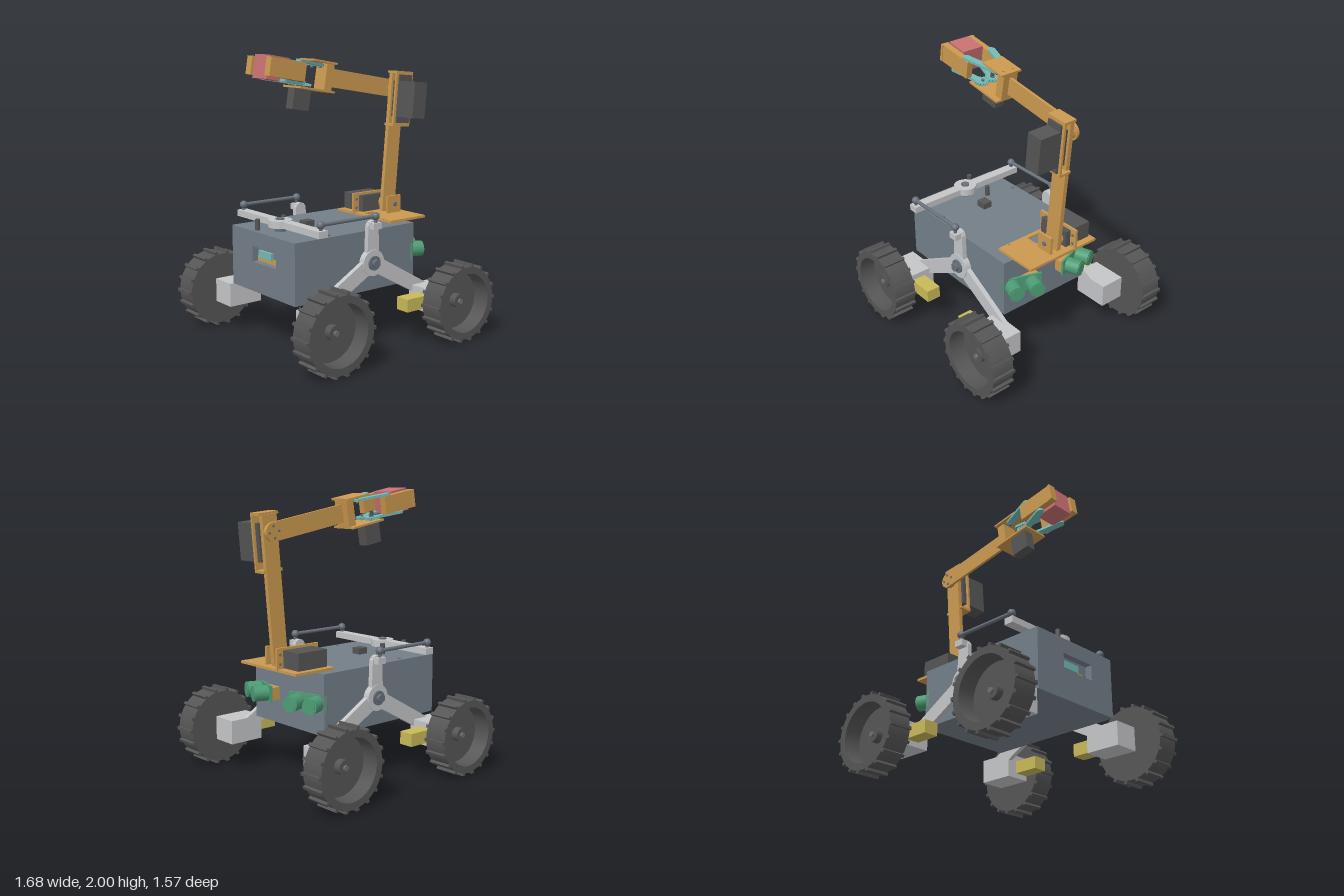
import * as THREE from 'three';
import { toCreasedNormals } from 'three/addons/utils/BufferGeometryUtils.js';

const mat = (name, color) => {
  const m = new THREE.MeshStandardMaterial({ color });
  m.name = name;
  return m;
};

export function createModel() {
  const root = new THREE.Group();
  root.name = 'roverWithArm';
  const M = {
    body: mat('slate', 0x737e88), light: mat('lightGrey', 0xc4c5c8), dark: mat('charcoal', 0x565555),
    metal: mat('steel', 0x68707b), tan: mat('tan', 0xcb9950), yellow: mat('yellow', 0xc8b958),
    green: mat('green', 0x4c9b74), teal: mat('teal', 0x74b9b5), red: mat('red', 0xc87072),
  };

  const add = (name, geo, m, x = 0, y = 0, z = 0, parent = root) => {
    const mesh = new THREE.Mesh(geo, m);
    mesh.name = name;
    mesh.position.set(x, y, z);
    parent.add(mesh);
    return mesh;
  };
  const group = (name, x, y, z, parent = root) => {
    const g = new THREE.Group();
    g.name = name;
    g.position.set(x, y, z);
    parent.add(g);
    return g;
  };
  // Box given by its limits
  const box = (name, m, x0, x1, y0, y1, z0, z1, parent) =>
    add(name, new THREE.BoxGeometry(x1 - x0, y1 - y0, z1 - z0), m, (x0 + x1) / 2, (y0 + y1) / 2, (z0 + z1) / 2, parent);
  // Cylinder between two points
  const rod = (name, m, a, b, r, parent, seg = 24) => {
    const p = new THREE.Vector3(...a), d = new THREE.Vector3(...b).sub(p);
    const c = add(name, new THREE.CylinderGeometry(r, r, d.length(), seg), m, 0, 0, 0, parent);
    c.position.copy(p).addScaledVector(d, 0.5);
    c.quaternion.setFromUnitVectors(new THREE.Vector3(0, 1, 0), d.normalize());
    return c;
  };
  const extrude = (shape, depth) => new THREE.ExtrudeGeometry(shape, { depth, bevelEnabled: false, curveSegments: 12 });
  // Flat bar with round ends, running along +x from its first pivot
  const linkGeo = (len, r0, r1, depth) => {
    const s = new THREE.Shape();
    s.absarc(0, 0, r0, Math.PI / 2, Math.PI * 1.5, false);
    s.absarc(len, 0, r1, -Math.PI / 2, Math.PI / 2, false);
    s.closePath();
    return extrude(s, depth);
  };
  const rect = (C, x0, x1, y0, y1) =>
    new C([[x0, y0], [x1, y0], [x1, y1], [x0, y1]].map(p => new THREE.Vector2(...p)));
  const hole = (x, y, r) => new THREE.Path().absarc(x, y, r, 0, Math.PI * 2, true);

  // Body with a slot in the rear panel
  box('body', M.body, -0.57, 0.43, 0.38, 0.805, -0.37, 0.37);
  const rear = rect(THREE.Shape, -0.37, 0.37, 0.38, 0.805);
  rear.holes.push(rect(THREE.Path, -0.12, 0.16, 0.59, 0.7));
  const rearMesh = add('rearPanel', extrude(rear, 0.05), M.body, -0.57, 0, 0);
  rearMesh.rotation.y = -Math.PI / 2;
  box('slotBoard', M.tan, -0.574, -0.568, 0.59, 0.63, -0.16, 0.12);
  box('slotPort', M.teal, -0.59, -0.568, 0.62, 0.67, -0.09, 0.06);
  for (const z of [-0.33, 0.325]) rod('bodyScrew', M.metal, [-0.31, 0.8, z], [-0.31, 0.812, z], 0.011);

  // Top fittings
  box('switch', M.dark, -0.28, -0.2, 0.805, 0.85, -0.035, 0.035);
  for (const x of [-0.575, -0.355]) rod('post', M.dark, [x, 0.8, -0.12], [x, 0.88, -0.12], 0.018);

  // Differential bar
  rod('barPivot', M.metal, [-0.47, 0.8, 0], [-0.47, 0.84, 0], 0.04);
  rod('barHub', M.light, [-0.47, 0.835, 0], [-0.47, 0.885, 0], 0.083, root, 32);
  rod('barBolt', M.metal, [-0.47, 0.88, 0], [-0.47, 0.895, 0], 0.03);
  box('differentialBar', M.light, -0.505, -0.432, 0.837, 0.883, -0.478, 0.478);

  // Wheel: cup open on its outer side, with tread bars
  const tyreGeo = toCreasedNormals(new THREE.LatheGeometry(
    [[0, 0], [0.26, 0], [0.26, 0.17], [0.21, 0.17], [0.205, 0.05], [0, 0.05]].map(p => new THREE.Vector2(...p)), 54
  ).rotateX(Math.PI / 2), 0.5);
  const lugGeo = new THREE.BoxGeometry(0.03, 0.022, 0.17);
  const wheel = (x, s) => {
    const w = group('wheel', x, 0.28, s * 0.615);
    if (s < 0) w.rotation.y = Math.PI;
    add('tyre', tyreGeo, M.dark, 0, 0, 0, w);
    for (let i = 0; i < 18; i++) {
      const a = i * Math.PI / 9;
      add('tread', lugGeo, M.dark, 0.265 * Math.cos(a), 0.265 * Math.sin(a), 0.085, w).rotation.z = a;
    }
    rod('hub', M.dark, [0, 0, 0.04], [0, 0, 0.1], 0.05, w);
    rod('axle', M.metal, [0, 0, -0.05], [0, 0, 0.115], 0.018, w);
  };

  // Rocker suspension, wheels and motors on each side
  for (const s of [1, -1]) {
    const z0 = s > 0 ? 0.395 : -0.43;
    const zr = (a, b) => (s > 0 ? [a, b] : [-b, -a]);
    rod('rockerHub', M.light, [0, 0.59, s * 0.39], [0, 0.59, s * 0.437], 0.092, root, 32);
    rod('rockerBearing', M.metal, [0, 0.59, s * 0.36], [0, 0.59, s * 0.45], 0.05);
    rod('rockerBolt', M.metal, [0, 0.59, s * 0.44], [0, 0.59, s * 0.475], 0.032, root, 6);
    for (const d of [1, -1]) {
      add('rockerLeg', linkGeo(0.6, 0.055, 0.05, 0.035), M.light, 0, 0.59, z0).rotation.z = d > 0 ? -0.51 : Math.PI + 0.51;
      const xr = (a, b) => (d > 0 ? [a, b] : [-b, -a]);
      box('motorBox', M.light, ...xr(0.37, 0.632), 0.2, 0.37, ...zr(0.395, 0.585));
      box('motorCap', M.yellow, ...xr(0.39, 0.612), 0.21, 0.35, ...zr(0.58, 0.603));
      box('gearMotor', M.yellow, ...xr(0.183, 0.4), 0.237, 0.328, ...zr(0.475, 0.583));
      wheel(d * 0.558, s);
    }
    add('rockerUpright', linkGeo(0.25, 0.055, 0.045, 0.035), M.light, 0, 0.59, z0).rotation.z = Math.PI / 2;
    box('rockerTab', M.light, -0.035, 0.035, 0.83, 0.875, ...zr(0.4, 0.475));
    for (const x of [-0.47, 0]) {
      add('ballJoint', new THREE.SphereGeometry(0.028, 20, 14), M.metal, x, 0.92, s * 0.45);
      rod('jointStud', M.metal, [x, 0.86, s * 0.45], [x, 0.92, s * 0.45], 0.012);
    }
    rod('tieRod', M.metal, [-0.47, 0.92, s * 0.45], [0, 0.92, s * 0.45], 0.013);

    // Front distance sensor, turned outwards
    const g = group('distanceSensor', 0.457, 0.597, s * 0.235);
    g.rotation.y = -s * 0.34;
    box('sensorBoard', M.green, -0.008, 0.008, -0.06, 0.06, -0.145, 0.145, g);
    for (const z of [-0.075, 0.075]) {
      rod('sensorBarrel', M.green, [0, 0, z], [0.11, 0, z], 0.055, g, 32);
      rod('sensorFace', M.green, [0.1, 0, z], [0.114, 0, z], 0.042, g, 32);
    }
    const wedge = new THREE.Shape([[0.42, s * 0.34], [0.42, s * 0.1], [0.496, s * 0.1]].map(p => new THREE.Vector2(...p)));
    add('sensorWedge', extrude(wedge, 0.09).rotateX(Math.PI / 2), M.tan, 0, 0.642, 0);
  }

  // Arm base plate
  const base = rect(THREE.Shape, 0.28, 0.615, -0.3, 0.295);
  base.holes.push(rect(THREE.Path, 0.31, 0.4, -0.04, 0.06), hole(0.297, -0.22, 0.011), hole(0.297, 0.21, 0.011));
  add('armBasePlate', extrude(base, 0.018).rotateX(Math.PI / 2), M.tan, 0, 0.823, 0);

  // Shoulder servo and its mounts
  const mount = rect(THREE.Shape, 0.265, 0.622, 0.81, 0.965);
  mount.holes.push(rect(THREE.Path, 0.32, 0.57, 0.828, 0.948));
  add('shoulderMount', extrude(mount, 0.018), M.tan, 0, 0, -0.118);
  box('shoulderServo', M.dark, 0.32, 0.57, 0.828, 0.948, -0.275, -0.058);
  for (const x of [0.292, 0.595]) for (const y of [0.855, 0.92])
    rod('mountScrew', M.metal, [x, y, -0.12], [x, y, -0.094], 0.01);
  rod('shoulderHorn', M.tan, [0.51, 0.885, -0.05], [0.51, 0.885, -0.015], 0.045);
  box('shoulderSupport', M.tan, 0.44, 0.57, 0.82, 0.95, 0.062, 0.08);
  rod('shoulderShaft', M.metal, [0.51, 0.885, -0.06], [0.51, 0.885, 0.09], 0.016);

  // Lower arm, with the elbow servo at its top
  const lower = group('lowerArm', 0.51, 0.885, 0);
  lower.rotation.z = -0.087;
  box('lowerLink', M.tan, -0.06, 0.06, -0.06, 0.96, -0.016, 0.016, lower);
  const clamp = rect(THREE.Shape, -0.08, 0.08, 0.575, 0.975);
  clamp.holes.push(rect(THREE.Path, -0.06, 0.06, 0.645, 0.905));
  add('elbowMount', extrude(clamp, 0.016), M.tan, 0, 0, 0.07, lower);
  for (const y of [0.575, 0.957]) box('elbowSpacer', M.tan, -0.08, 0.08, y, y + 0.018, -0.01, 0.075, lower);
  box('elbowServo', M.dark, -0.06, 0.06, 0.645, 0.905, 0.035, 0.26, lower);
  box('elbowServoFlange', M.dark, -0.06, 0.06, 0.6, 0.95, 0.086, 0.1, lower);

  // Upper arm; forward is local -x
  const upper = group('upperArm', 0.59, 1.727, -0.05);
  upper.rotation.z = -0.166;
  add('upperLink', linkGeo(0.6, 0.064, 0.064, 0.02), M.tan, 0, 0, -0.01, upper).rotation.z = Math.PI;
  upper.children[0].position.z = -0.01;
  rod('elbowHorn', M.tan, [0, 0, 0.005], [0, 0, 0.06], 0.052, upper);
  for (let i = 0; i < 4; i++) {
    const a = i * Math.PI / 2, x = 0.04 * Math.cos(a), y = 0.04 * Math.sin(a);
    rod('hornScrew', M.metal, [x, y, -0.016], [x, y, 0], 0.009, upper, 12);
  }

  // Wrist bracket and gripper
  const hand = group('gripper', -0.011, 1.826, -0.05);
  hand.rotation.z = -0.166;
  box('wristBlock', M.tan, -0.069, -0.005, -0.1, 0.1, -0.06, 0.06, hand);
  const top = rect(THREE.Shape, -0.204, 0, -0.085, 0.085);
  top.holes.push(hole(-0.035, -0.04, 0.01), hole(-0.035, 0.04, 0.01));
  add('wristTop', extrude(top, 0.014).rotateX(Math.PI / 2), M.tan, 0, 0.106, 0, hand);
  box('wristBottom', M.tan, -0.304, -0.005, -0.106, -0.092, -0.1, 0.1, hand);
  box('gripperServo', M.dark, -0.272, -0.13, -0.25, -0.1, -0.08, -0.005, hand);
  rod('gripperShaft', M.dark, [-0.24, -0.09, -0.047], [-0.24, -0.025, -0.047], 0.014, hand);

  const gear = new THREE.Shape();
  for (let i = 0; i < 56; i++) {
    const a = i * Math.PI / 28, r = i % 4 < 2 ? 0.052 : 0.041;
    gear[i ? 'lineTo' : 'moveTo'](r * Math.cos(a), r * Math.sin(a));
  }
  gear.closePath();
  const gearGeo = extrude(gear, 0.018).rotateX(Math.PI / 2);
  const fingerLink = linkGeo(0.235, 0.026, 0.026, 0.018).rotateX(Math.PI / 2);
  for (const s of [1, -1]) {
    add('gear', gearGeo, M.teal, -0.24, -0.066, s * 0.047, hand).rotation.y = s > 0 ? 0 : Math.PI / 14;
    // Parallel links swing outwards to each finger
    for (const [x, y] of [[-0.12, 0.083], [-0.23, -0.064]]) {
      add('fingerLink', fingerLink, M.teal, x, y, s * 0.045, hand).rotation.y = Math.PI + s * 0.28;
      rod('linkPin', M.metal, [x, y - 0.03, s * 0.045], [x, y + 0.012, s * 0.045], 0.011, hand, 12);
    }
    box('finger', M.tan, -0.585, -0.3, -0.06, 0.066, s > 0 ? 0.088 : -0.135, s > 0 ? 0.135 : -0.088, hand);
    box('fingerTip', M.tan, -0.595, -0.575, -0.06, 0.066, s > 0 ? 0.082 : -0.14, s > 0 ? 0.14 : -0.082, hand);
  }
  box('heldBlock', M.red, -0.575, -0.41, -0.08, 0.08, -0.084, 0.084, hand);

  return root;
}
